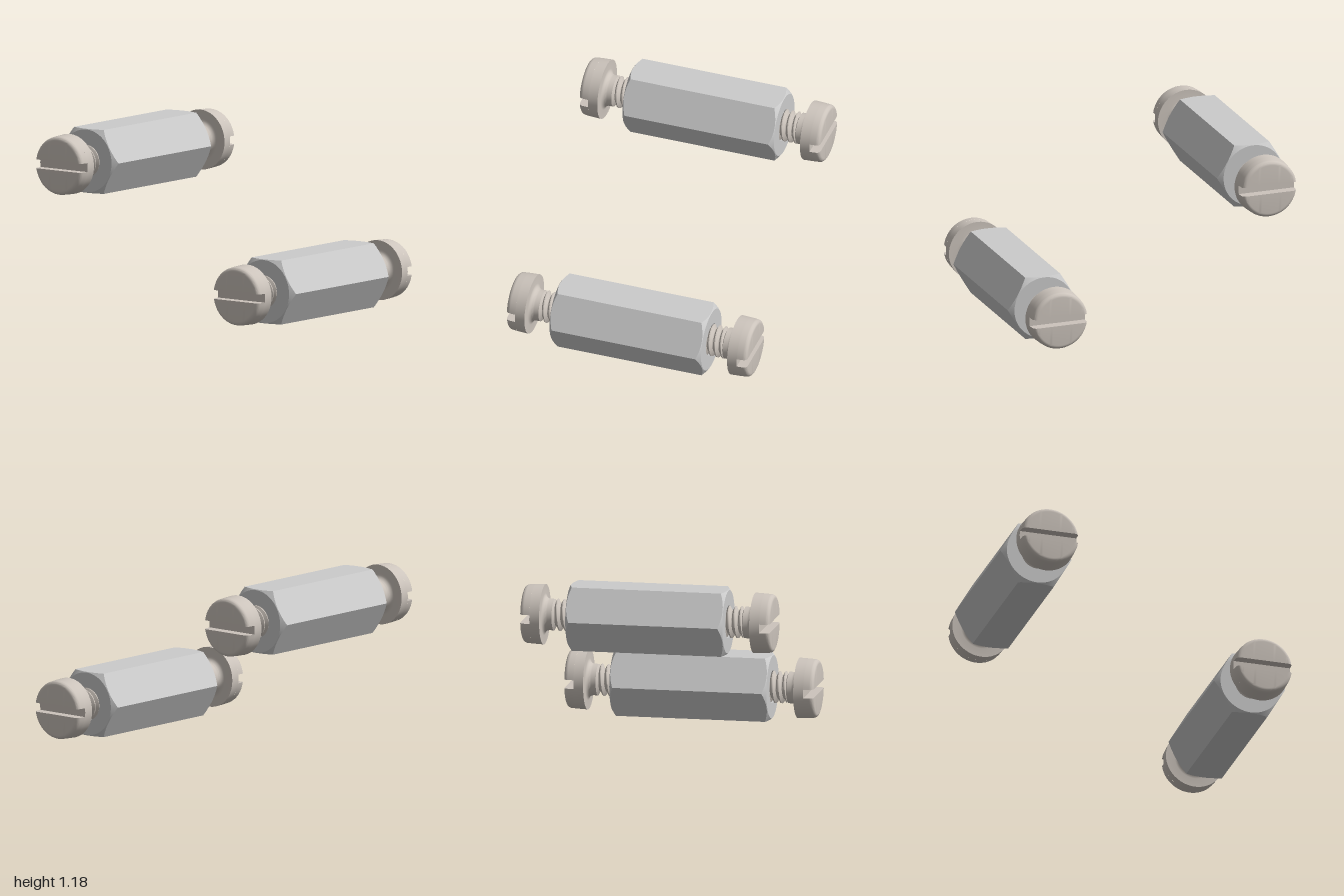
import * as THREE from 'three';
import { toCreasedNormals } from 'three/addons/utils/BufferGeometryUtils.js';

const TAU = Math.PI * 2;
const hexMaterial = new THREE.MeshStandardMaterial({ color: 0xcccccc });
const screwMaterial = new THREE.MeshStandardMaterial({ color: 0xccc4bc });

// Skin between rows of [x, y, z] points; all rows have the same length
function loft(rows, crease = 0.5) {
  const n = rows[0].length, index = [];
  for (let j = 0; j < rows.length - 1; j++) {
    for (let i = 0; i < n - 1; i++) {
      const a = j * n + i, b = a + 1, c = b + n, d = a + n;
      index.push(a, b, c, a, c, d);
    }
  }
  const g = new THREE.BufferGeometry();
  g.setAttribute('position', new THREE.Float32BufferAttribute(rows.flat(2), 3));
  g.setIndex(index);
  return toCreasedNormals(g, crease);
}

function lathe(points, segments = 48) {
  const g = new THREE.LatheGeometry(points.map(([r, z]) => new THREE.Vector2(r, z)), segments);
  g.rotateX(Math.PI / 2);
  return toCreasedNormals(g, 0.5);
}

const row = (n, fn) => Array.from({ length: n + 1 }, (_, i) => fn(i / n));
const polar = (r, a, z) => [r * Math.cos(a), r * Math.sin(a), z];

// Hexagonal sleeve, bored through, with conical chamfers on its corners
function sleeveGeometry() {
  const flat = 0.2165, half = 0.537, face = 0.212, bore = 0.11;
  const hexRadius = (a) => flat / Math.cos((a % (Math.PI / 3)) - Math.PI / 6);
  const ring = (r, z) => row(96, (t) => polar(r, t * TAU, z));
  const edge = (s) => row(96, (t) => {
    const r = hexRadius(t * TAU);
    return polar(r, t * TAU, s * (half - (r - face) * 0.72));
  });
  return loft([edge(-1), edge(1), ring(face, half), ring(bore, half),
    ring(bore, -half), ring(face, -half), edge(-1)], 0.3);
}

// Right-handed helical thread
function threadGeometry(root, crest, z0, z1, pitch) {
  const turns = (z1 - z0) / pitch;
  const profile = [[root, 0], [root, 0.12], [crest, 0.48], [crest, 0.64], [root, 1]];
  return loft(profile.map(([r, o]) => row(Math.round(turns * 36),
    (t) => polar(r, t * turns * TAU, z0 + pitch * (t * turns + o)))), 0.4);
}

// Half of the slotted upper head: arcs up the side, then chords down the slot wall
const SLOT = 0.03, FLOOR = 0.785;
function headHalfGeometry() {
  const profile = [[0.2, FLOOR], [0.197, 0.825]];
  for (let k = 1; k <= 6; k++) {
    const a = (k / 6) * Math.PI / 2;
    profile.push([0.169 + 0.028 * Math.cos(a), 0.825 + 0.028 * Math.sin(a)]);
  }
  const arcs = profile.map(([r, z]) => {
    const start = Math.asin(SLOT / r);
    return row(32, (t) => polar(r, start + t * (Math.PI - 2 * start), z));
  });
  const chords = arcs.map((arc) => arc.map(([x, , z]) => [x, SLOT, z])).reverse();
  return loft([...arcs, ...chords], 0.5);
}

// Shank, fillet under the head, and the head up to the slot floor
function bodyGeometry() {
  const points = [[0, 0.26], [0.078, 0.28], [0.078, 0.638], [0.106, 0.652], [0.106, 0.682]];
  for (let k = 1; k <= 6; k++) {
    const a = (k / 6) * Math.PI / 2;
    points.push([0.142 - 0.036 * Math.cos(a), 0.682 + 0.036 * Math.sin(a)]);
  }
  points.push([0.203, 0.718], [0.2, FLOOR], [0, FLOOR]);
  return lathe(points);
}

const geometries = {
  sleeve: sleeveGeometry(),
  thread: threadGeometry(0.08, 0.108, 0.3, 0.622, 0.042),
  headHalf: headHalfGeometry(),
  body: bodyGeometry(),
};

function mesh(name, geometry, material) {
  const m = new THREE.Mesh(geometry, material);
  m.name = name;
  return m;
}

function createScrew(name) {
  const screw = new THREE.Group();
  screw.name = name;
  const upper = mesh('headUpperHalf', geometries.headHalf, screwMaterial);
  const lower = mesh('headLowerHalf', geometries.headHalf, screwMaterial);
  lower.rotation.z = Math.PI;
  screw.add(mesh('screwBody', geometries.body, screwMaterial),
    mesh('screwThread', geometries.thread, screwMaterial), upper, lower);
  return screw;
}

function createStandoff(name, x, y) {
  const standoff = new THREE.Group();
  standoff.name = name;
  const back = createScrew('backScrew');
  back.rotation.y = Math.PI;
  standoff.add(mesh('hexSleeve', geometries.sleeve, hexMaterial), createScrew('frontScrew'), back);
  standoff.position.set(x, y, 0);
  return standoff;
}

export function createModel() {
  const model = new THREE.Group();
  model.name = 'standoffPair';
  model.add(createStandoff('rightStandoff', -0.75, 0.9685),
    createStandoff('leftStandoff', 0.75, 0.2165));
  return model;
}
